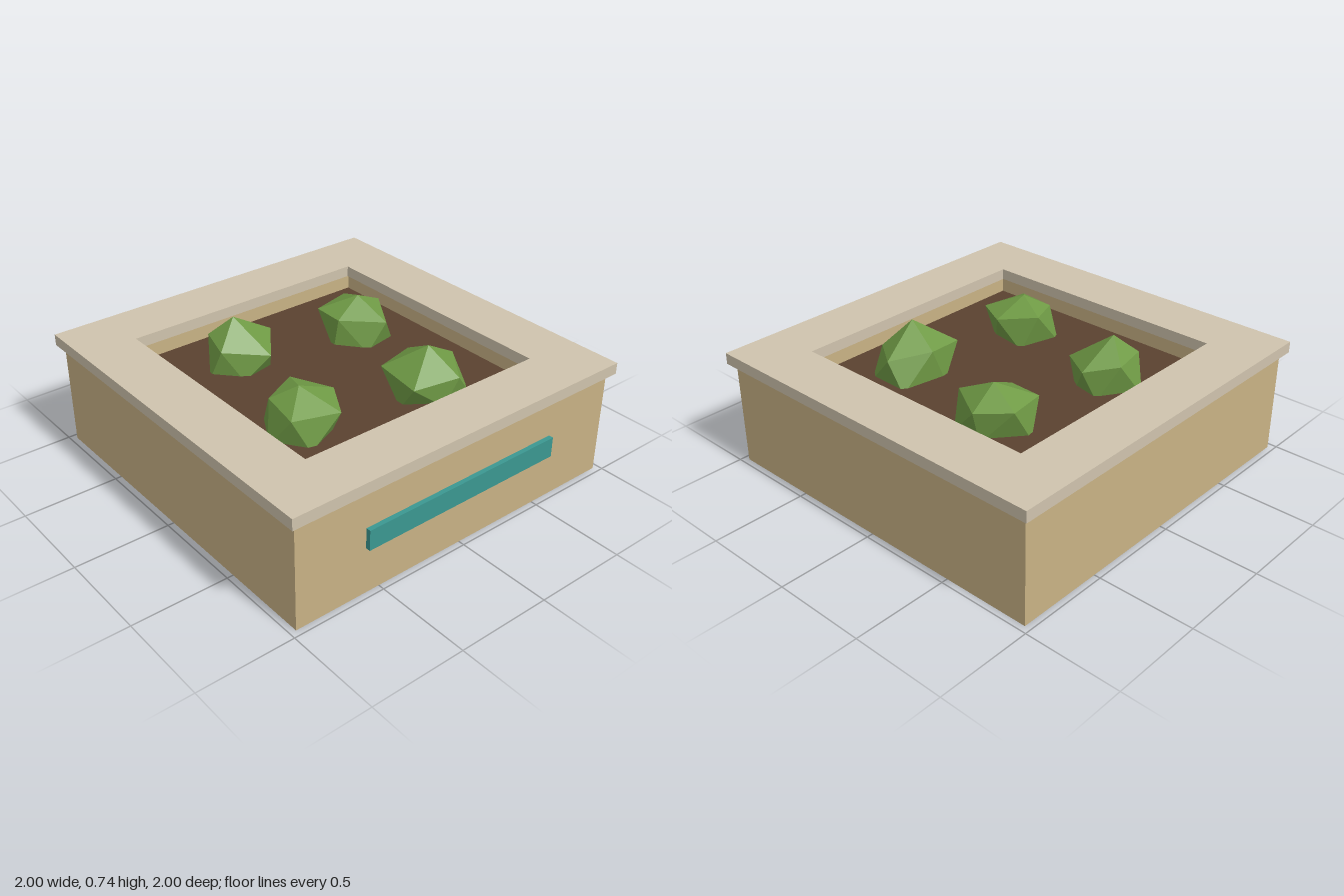
import * as THREE from 'three';
import { ConvexGeometry } from 'three/addons/geometries/ConvexGeometry.js';

const material = (color) => new THREE.MeshStandardMaterial({ color, flatShading: true });

function mesh(name, geometry, mat, x = 0, y = 0, z = 0) {
  const m = new THREE.Mesh(geometry, mat);
  m.name = name;
  m.position.set(x, y, z);
  return m;
}

// Square frame lying flat, from y = 0 up to the given height
function frameGeometry(outer, inner, height) {
  const square = (h) => [[-h, -h], [h, -h], [h, h], [-h, h]].map(([x, y]) => new THREE.Vector2(x, y));
  const shape = new THREE.Shape(square(outer));
  shape.holes.push(new THREE.Path(square(inner).reverse()));
  return new THREE.ExtrudeGeometry(shape, { depth: height, bevelEnabled: false }).rotateX(-Math.PI / 2);
}

// Irregular icosahedron: a tip, an upper ring of five points and its mirror image below
function bushGeometry({ tip, ring }) {
  const points = [new THREE.Vector3(...tip), new THREE.Vector3(0, -0.19, 0)];
  for (const [x, y, z] of ring) {
    points.push(new THREE.Vector3(x, y, z), new THREE.Vector3(-0.96 * x, -0.09, -0.96 * z));
  }
  return new ConvexGeometry(points);
}

// Bush centres, with tip and ring points relative to them
const BUSHES = [
  {
    name: 'bushBackLeft', at: [-0.27, 0.53, -0.4], tip: [-0.02, 0.2, -0.02],
    ring: [[0.075, 0.1, -0.145], [0.2, 0.07, -0.005], [0.055, 0.04, 0.195], [-0.155, 0.07, 0.06], [-0.12, 0.1, -0.105]],
  },
  {
    name: 'bushBackRight', at: [0.4, 0.53, -0.27], tip: [0.01, 0.165, 0],
    ring: [[-0.15, 0.08, -0.14], [0.065, 0.09, -0.18], [0.185, 0.08, -0.03], [0.04, 0.07, 0.2], [-0.155, 0.08, 0.04]],
  },
  {
    name: 'bushFrontLeft', at: [-0.41, 0.53, 0.29], tip: [0, 0.16, -0.01],
    ring: [[-0.11, 0.09, -0.1], [0.075, 0.105, -0.18], [0.2, 0.08, 0], [0.095, 0.07, 0.185], [-0.145, 0.08, 0.12]],
  },
  {
    name: 'bushFrontRight', at: [0.29, 0.53, 0.4], tip: [-0.025, 0.205, 0.03],
    ring: [[-0.19, 0.08, -0.125], [0.015, 0.1, -0.155], [0.2, 0.07, -0.025], [0.065, 0.05, 0.165], [-0.195, 0.05, 0.12]],
  },
];

export function createModel() {
  const group = new THREE.Group();
  group.name = 'planter';

  // Box walls and overhanging rim
  group.add(mesh('walls', frameGeometry(0.967, 0.733, 0.565), material(0xc8b285)));
  group.add(mesh('rim', frameGeometry(1, 0.7, 0.06), material(0xcfc3ad), 0, 0.565, 0));

  // Soil fills the box down to the ground
  group.add(mesh('soil', new THREE.BoxGeometry(1.466, 0.47, 1.466), material(0x5a4230), 0, 0.235, 0));

  // Accent strip on the front
  group.add(mesh('frontStrip', new THREE.BoxGeometry(1.16, 0.108, 0.03), material(0x3b9791), 0, 0.304, 0.977));

  // Low-poly shrubs
  const leaf = material(0x6f9a45);
  for (const bush of BUSHES) group.add(mesh(bush.name, bushGeometry(bush), leaf, ...bush.at));

  return group;
}
